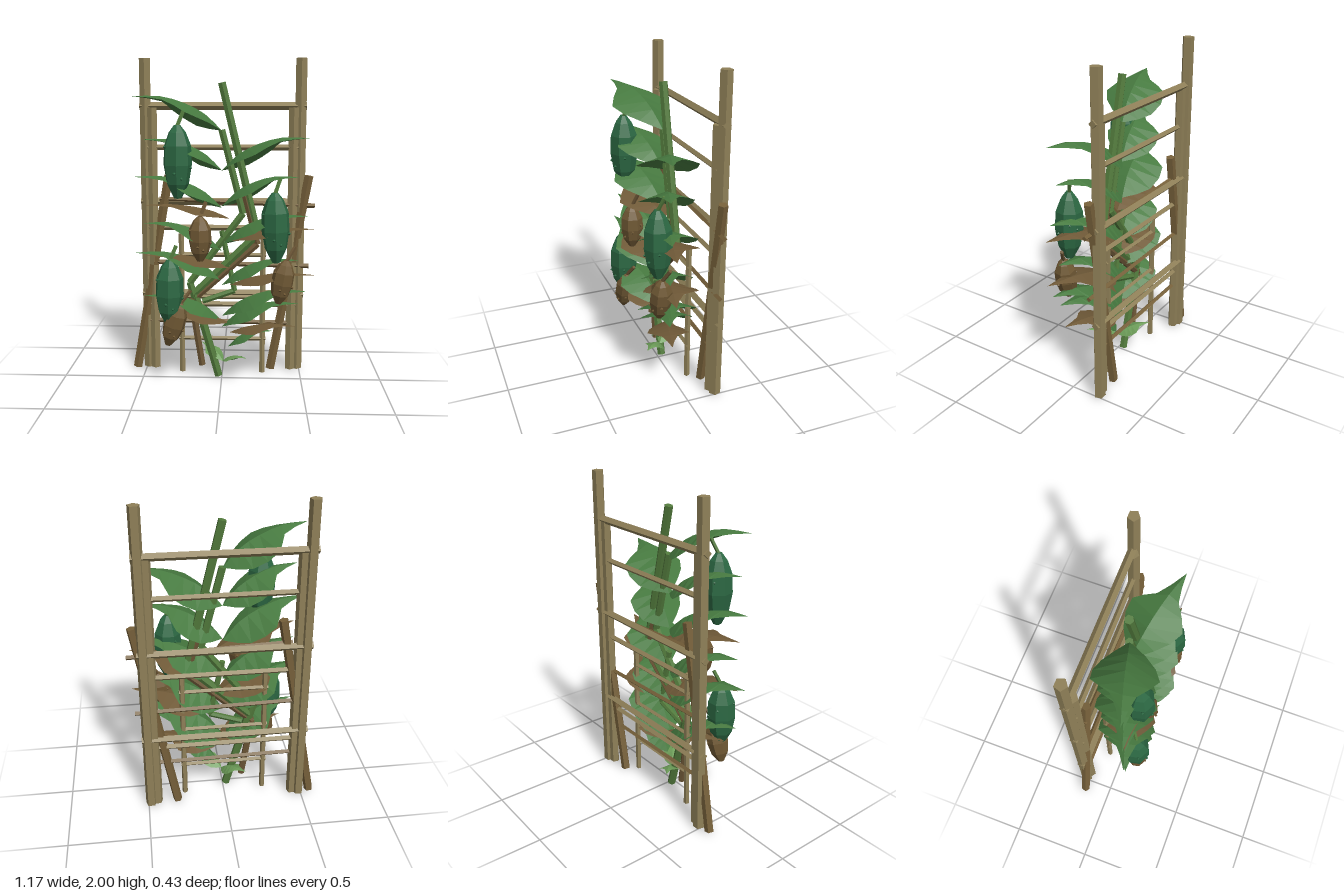
import * as THREE from 'three';

const paint = (color, side = THREE.FrontSide) =>
  new THREE.MeshStandardMaterial({ color, flatShading: true, side });

export function createModel() {
  const model = new THREE.Group();
  const wood = paint(0x8f8058), oldWood = paint(0x76603a);
  const stemGreen = paint(0x527a3c), stemBrown = paint(0x6c5636);
  const leafGreen = paint(0x477a40, THREE.DoubleSide);
  const leafBrown = paint(0x705a38, THREE.DoubleSide);
  const leafYoung = paint(0x6c9c58, THREE.DoubleSide);
  const fruitGreen = paint(0x2c6843), fruitBrown = paint(0x6f5834);

  const add = (name, geometry, material, parent = model) => {
    const mesh = new THREE.Mesh(geometry, material);
    mesh.name = name;
    parent.add(mesh);
    return mesh;
  };

  // Straight pole between two points
  const pole = (name, a, b, r, material, sides = 5, parent = model) => {
    const p = new THREE.Vector3(...a), q = new THREE.Vector3(...b);
    const mesh = add(name, new THREE.CylinderGeometry(r, r, p.distanceTo(q), sides), material, parent);
    mesh.position.copy(p).add(q).multiplyScalar(0.5);
    mesh.quaternion.setFromUnitVectors(new THREE.Vector3(0, 1, 0), q.sub(p).normalize());
  };

  // Trellises: two posts and level rungs each
  const trellis = (name, x, height, z, r, overhang, rungs, rungR) => {
    for (const s of [-1, 1]) pole(name + 'Post', [s * x, 0.01, z], [s * x, height, z], r, wood);
    for (const y of rungs)
      pole(name + 'Rung', [-x - overhang, y, z], [x + overhang, y, z], rungR, wood, 4);
  };
  trellis('tall', 0.483, 2, -0.185, 0.036, 0.037, [0.51, 1.11, 1.71], 0.024);
  trellis('middle', 0.44, 1.7, -0.17, 0.032, 0.032, [0.44, 0.945, 1.455], 0.018);
  trellis('low', 0.257, 0.92, -0.095, 0.018, 0.02, [0.235, 0.51, 0.785], 0.014);

  // Leaning old trellis
  pole('leaningPost', [-0.56, 0.01, -0.167], [-0.34, 1.28, -0.167], 0.029, oldWood);
  pole('leaningPost', [0.31, 0.01, -0.167], [0.54, 1.28, -0.167], 0.029, oldWood);
  for (const [x0, x1, y0, y1] of [[-0.47, 0.42, 0.33, 0.32], [-0.45, 0.55, 0.72, 0.70], [-0.4, 0.58, 1.13, 1.09]])
    pole('leaningRung', [x0, y0, -0.165], [x1, y1, -0.165], 0.015, oldWood, 4);

  // Zigzag vines
  const vine = (name, points, r, material) => {
    for (let i = 1; i < points.length; i++)
      pole(name, [...points[i - 1], -0.03], [...points[i], -0.03], r, material, 6);
  };
  vine('tallVine', [[-0.02, 0.01], [-0.17, 0.55], [0.22, 0.93], [0, 1.85]], 0.026, stemGreen);
  vine('middleVine', [[-0.02, 0.01], [-0.2, 0.62], [0.13, 1.06], [0, 1.57]], 0.023, stemGreen);
  vine('sideVine', [[-0.12, 0.5], [0.08, 0.57], [0, 0.95]], 0.018, stemGreen);
  vine('dryVine', [[-0.125, 0.08], [-0.19, 0.5], [0.22, 0.87], [0.14, 1.18]], 0.022, stemBrown);

  // Arched leaf: back edge, rib and front edge run from base to tip as curves
  const base = [0, 0, -0.03], tip = [0.52, 0.205, 0.12], steps = 8;
  const lines = [
    [[0.16, 0.025, -0.13], [0.31, 0.12, -0.13], [0.36, 0.175, 0.0]],
    [[0.10, 0.10, 0.0], [0.22, 0.165, 0.03], [0.36, 0.205, 0.07]],
    [[0.07, 0.05, 0.09], [0.20, 0.115, 0.212], [0.34, 0.185, 0.135]],
  ].map((mid) => new THREE.CatmullRomCurve3(
    [base, ...mid, tip].map((p) => new THREE.Vector3(...p))).getPoints(steps));
  const leafShape = (side) => {
    const points = [], index = [];
    for (let i = 0; i <= steps; i++)
      for (const line of lines) points.push(side * line[i].x, line[i].y, line[i].z);
    for (let i = 0; i < steps; i++)
      for (let j = 0; j < 2; j++) {
        const a = i * 3 + j, b = a + 1, c = a + 3, d = a + 4;
        index.push(...(side > 0 ? [a, b, d, a, d, c] : [a, d, b, a, c, d]));
      }
    const g = new THREE.BufferGeometry();
    g.setAttribute('position', new THREE.Float32BufferAttribute(points, 3));
    g.setIndex(index);
    g.computeVertexNormals();
    return g;
  };
  const rightHanded = leafShape(1), leftHanded = leafShape(-1);
  const leaf = (name, side, tipY, sx, sy, sz, material) => {
    const mesh = add(name, side > 0 ? rightHanded : leftHanded, material);
    mesh.scale.set(sx, sy, sz);
    mesh.position.y = tipY - 0.205 * sy;
    return mesh;
  };
  [1.77, 1.53, 1.30, 1.07, 0.84, 0.61].forEach((y, i) =>
    leaf('tallVineLeaf', i % 2 ? 1 : -1, y, 1, 1, 1, leafGreen));
  [1.52, 1.30, 1.02, 0.80, 0.57, 0.53].forEach((y, i) =>
    leaf('middleVineLeaf', i % 2 ? 1 : -1, y, 0.9, 0.95, 0.9, leafGreen));
  [[1.13, 1], [0.99, 1], [0.82, 1], [0.71, 1], [0.45, 0.85], [0.38, 0.78]].forEach(([y, s], i) => {
    const m = leaf('dryLeaf', i % 2 ? 1 : -1, y, s, 0.5 * s, 0.92 * s, leafBrown);
    m.position.x = 0.05;
  });

  // Small leaf and seed leaves at the foot
  leaf('youngLeaf', 1, 0.34, 0.54, 0.65, 0.52, leafGreen).position.x = 0.04;
  for (const [side, turn] of [[-1, -1.07], [1, -0.5]])
    leaf('seedLeaf', side, 0.185, 0.4, 0.35, 0.35, leafYoung).rotation.y = turn;

  // Gourd-like fruit: faceted body, slanted stalk, small bumps
  const profile = [[0, -0.5], [0.28, -0.5], [0.78, -0.3], [1, -0.04], [0.95, 0.22], [0.6, 0.4], [0.22, 0.5], [0, 0.5]]
    .map(([x, y]) => new THREE.Vector2(x, y));
  const fruit = (name, x, y, height, r, tilt, material, stalk) => {
    const group = new THREE.Group();
    group.name = name;
    group.position.set(x, y, 0.128);
    group.rotation.z = tilt;
    model.add(group);
    add('fruitBody', new THREE.LatheGeometry(profile, 7).scale(r, height, r), material, group);
    pole('fruitStalk', [0, height * 0.48, 0], [0.035, height * 0.48 + 0.09, -0.03], 0.012, stalk, 5, group);
    for (let i = 0; i < 7; i++) {
      const a = i * 2.4 + 0.4, h = ((i * 3) % 7) / 7 * 0.5 - 0.22;
      const k = h < -0.06 ? 0.97 + (h + 0.06) * 0.85 : 0.93;
      add('bump', new THREE.OctahedronGeometry(0.01), material, group)
        .position.set(Math.sin(a) * r * k, h * height, Math.cos(a) * r * k);
    }
  };
  fruit('greenFruit', -0.255, 1.39, 0.43, 0.086, 0, fruitGreen, stemGreen);
  fruit('greenFruit', 0.325, 1.0, 0.42, 0.086, 0.03, fruitGreen, stemGreen);
  fruit('greenFruit', -0.312, 0.6, 0.40, 0.088, -0.02, fruitGreen, stemGreen);
  fruit('dryFruit', -0.125, 0.93, 0.27, 0.07, 0, fruitBrown, stemBrown);
  fruit('dryFruit', 0.37, 0.67, 0.27, 0.068, -0.18, fruitBrown, stemBrown);
  fruit('dryFruit', -0.285, 0.4, 0.28, 0.068, -0.3, fruitBrown, stemBrown);

  return model;
}
